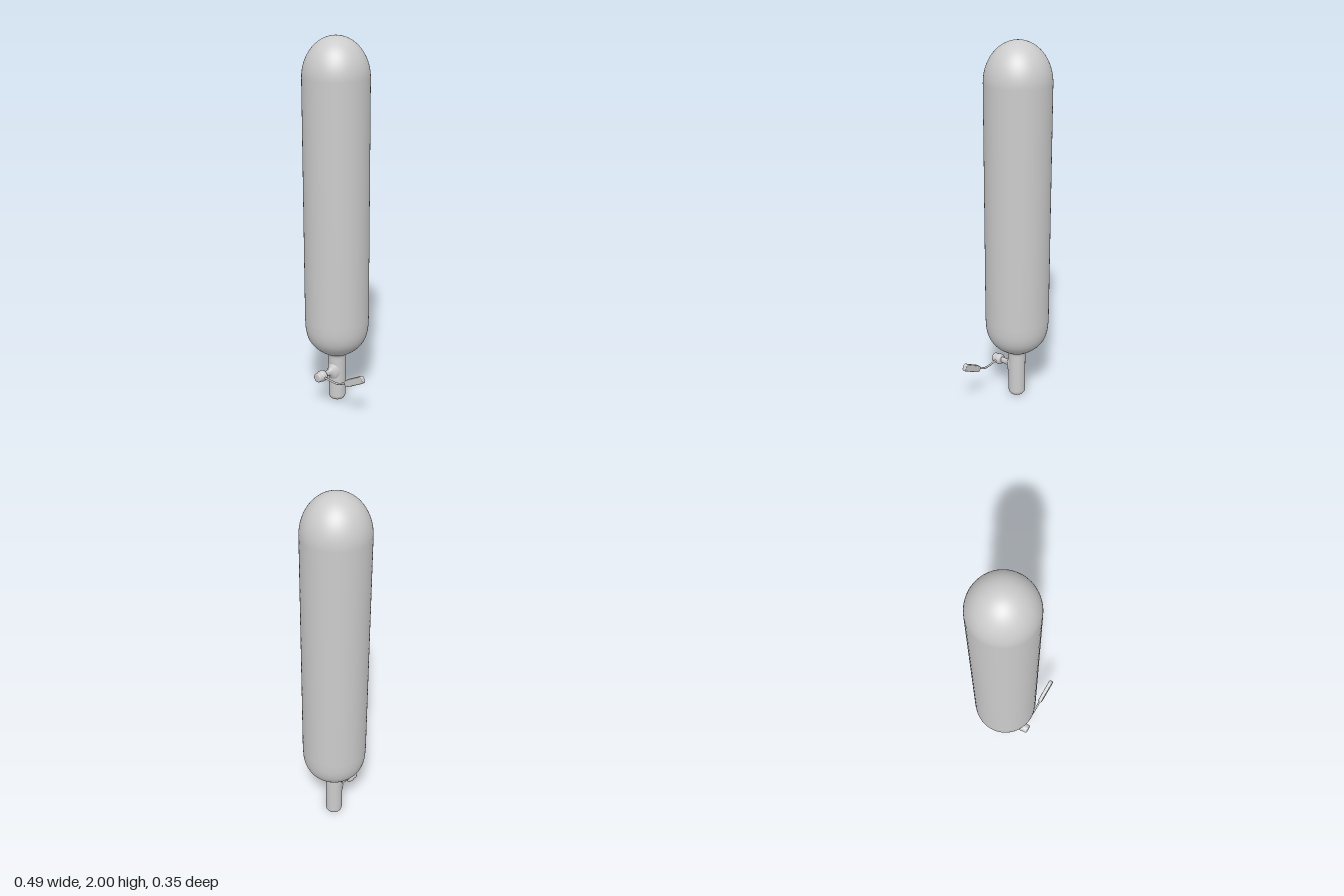
import * as THREE from 'three';

const material = new THREE.MeshStandardMaterial({ color: 0xcccccc });
const AXIS_X = -0.074;  // centre line of the tank
const VALVE_Y = 0.18;
const LEVER_Z = 0.127;

function addMesh(parent, name, geometry, x = 0, y = 0, z = 0) {
  const mesh = new THREE.Mesh(geometry, material);
  mesh.name = name;
  mesh.position.set(x, y, z);
  parent.add(mesh);
  return mesh;
}

// Lathe of [radius, height] pairs
const lathe = (pairs, segments) =>
  new THREE.LatheGeometry(pairs.map(([r, h]) => new THREE.Vector2(r, h)), segments);

export function createModel() {
  const model = new THREE.Group();
  model.name = 'tapTank';

  // Tank: funnelled bottom, straight wall and domed top
  const R = 0.174, domeBase = 1.79;
  const funnel = new THREE.SplineCurve([
    [0.047, 0.255], [0.052, 0.278], [0.085, 0.298], [0.125, 0.33],
    [0.155, 0.372], [0.17, 0.425], [R, 0.49],
  ].map(([r, y]) => new THREE.Vector2(r, y))).getPoints(24).map(p => [p.x, p.y]);
  const dome = [];
  for (let i = 0; i <= 20; i++) {
    const a = (i / 20) * Math.PI / 2;
    dome.push([i === 20 ? 0 : R * Math.cos(a), domeBase + (2 - domeBase) * Math.sin(a)]);
  }
  addMesh(model, 'tank', lathe([...funnel, ...dome], 64), AXIS_X);

  // Neck with a rounded lower end
  const neck = [[0, 0]];
  for (let i = 0; i <= 8; i++) {
    const a = (i / 8) * Math.PI / 2;
    neck.push([0.021 + 0.026 * Math.sin(a), 0.03 - 0.03 * Math.cos(a)]);
  }
  neck.push([0.047, 0.29]);
  addMesh(model, 'neck', lathe(neck, 40), AXIS_X);

  // Valve: flared stem and two-step knob, pointing to the front
  const valve = new THREE.Group();
  valve.name = 'valve';
  valve.position.set(AXIS_X + 0.002, VALVE_Y, 0);
  valve.rotation.x = Math.PI / 2;
  model.add(valve);
  const flare = addMesh(valve, 'stem', lathe([
    [0.046, 0.02], [0.042, 0.035], [0.034, 0.046], [0.022, 0.054],
    [0.015, 0.062], [0.013, 0.075], [0.013, 0.11],
  ], 32));
  flare.scale.z = 1.35;  // the flare is taller than it is wide
  flare.scale.x = 0.9;
  addMesh(valve, 'knob', lathe([
    [0, 0.103], [0.022, 0.103], [0.028, 0.106], [0.03, 0.111], [0.03, 0.129],
    [0.028, 0.134], [0.026, 0.137], [0.026, 0.153], [0.024, 0.158],
    [0.019, 0.16], [0, 0.16],
  ], 32));

  // Lever rod bending up to the handle
  const rodPath = new THREE.CatmullRomCurve3([
    [-0.07, 0.181], [0, 0.178], [0.045, 0.178], [0.07, 0.185], [0.12, 0.21],
  ].map(([x, y]) => new THREE.Vector3(x, y, LEVER_Z)));
  addMesh(model, 'leverRod', new THREE.TubeGeometry(rodPath, 32, 0.0055, 12));

  // Flat paddle handle, widening towards its end
  const paddle = new THREE.Shape();
  paddle.moveTo(0.002, -0.009);
  paddle.quadraticCurveTo(0.01, -0.014, 0.04, -0.015);
  paddle.lineTo(0.13, -0.015);
  paddle.quadraticCurveTo(0.14, -0.015, 0.14, -0.007);
  paddle.lineTo(0.14, 0.007);
  paddle.quadraticCurveTo(0.14, 0.015, 0.13, 0.015);
  paddle.lineTo(0.04, 0.015);
  paddle.quadraticCurveTo(0.01, 0.014, 0.002, 0.009);
  paddle.closePath();
  const handle = new THREE.ExtrudeGeometry(paddle, {
    depth: 0.01, bevelThickness: 0.006, bevelSize: 0.005, bevelSegments: 4, curveSegments: 8,
  });
  handle.translate(0, 0, -0.005);
  addMesh(model, 'leverHandle', handle, 0.113, 0.203, LEVER_Z).rotation.z = 0.51;

  return model;
}
